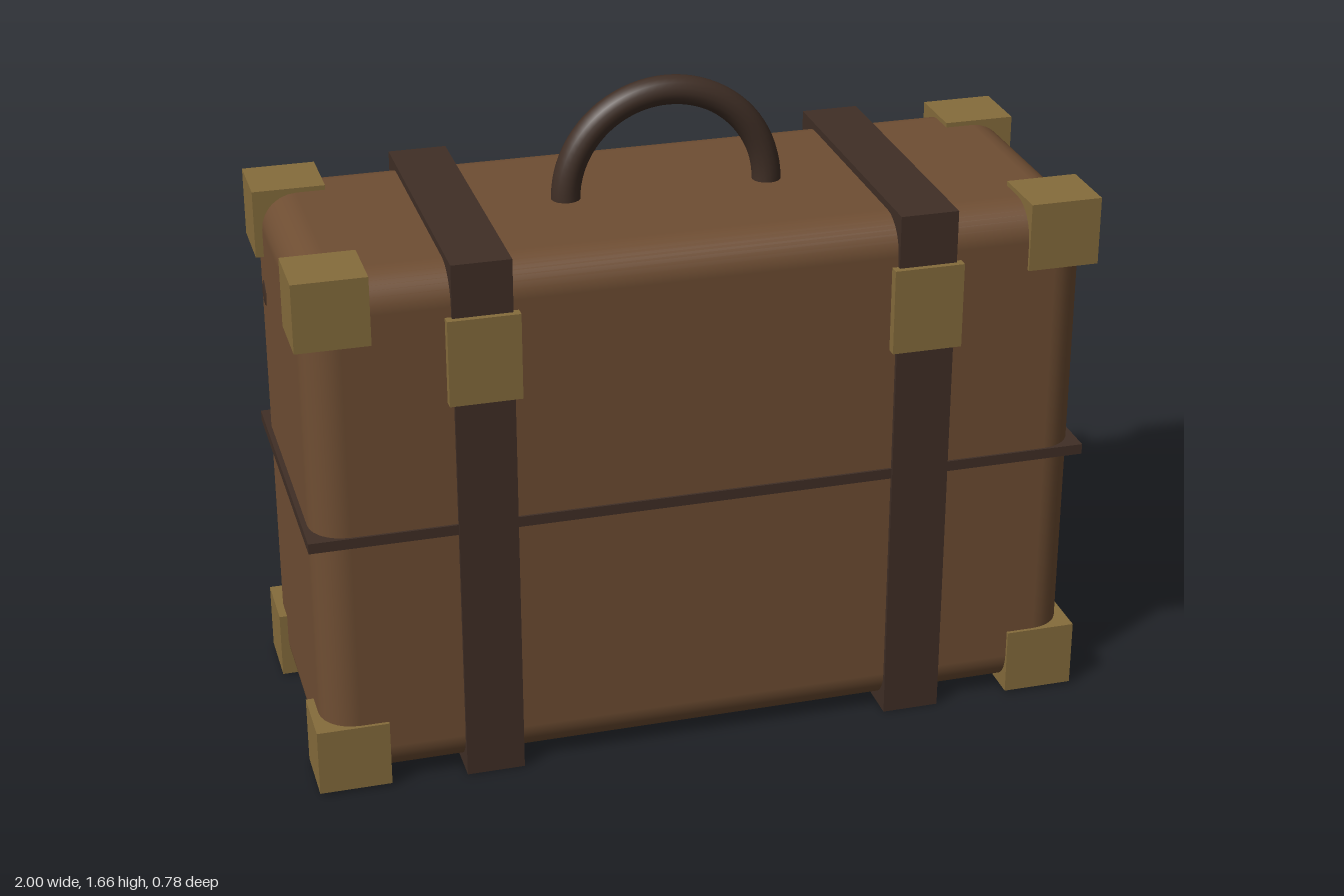
import * as THREE from 'three';
import { RoundedBoxGeometry } from 'three/addons/geometries/RoundedBoxGeometry.js';

const material = (name, color, side = THREE.FrontSide) => {
  const m = new THREE.MeshStandardMaterial({ color, side });
  m.name = name;
  return m;
};

// Box without its underside, for the parts that wrap the base
function openBox(w, h, d) {
  const g = new THREE.BoxGeometry(w, h, d);
  const index = Array.from(g.index.array);
  index.splice(18, 6);
  g.setIndex(index);
  g.clearGroups();
  return g;
}

export function createModel() {
  const model = new THREE.Group();
  model.name = 'suitcase';
  const leather = material('brown leather', 0x6f4e33);
  const darkLeather = material('dark leather', 0x402f26, THREE.DoubleSide);
  const brass = material('aged brass', 0x866d3c, THREE.DoubleSide);

  const add = (name, geometry, mat, x, y, z) => {
    const mesh = new THREE.Mesh(geometry, mat);
    mesh.name = name;
    mesh.position.set(x, y, z);
    model.add(mesh);
    return mesh;
  };
  const midY = 0.695, midZ = -0.007;

  // Case with rounded edges, and the seam around its middle
  add('caseBody', new RoundedBoxGeometry(1.96, 1.352, 0.746, 4, 0.09), leather, 0, midY, midZ);
  add('seam', new THREE.BoxGeometry(1.986, 0.027, 0.758), darkLeather, 0, midY, midZ);

  // Straps with buckle plates on the front
  for (const side of [-1, 1]) {
    add('strap', openBox(0.147, 1.39, 0.768), darkLeather, side * 0.553, midY, midZ);
    add('buckle', new THREE.BoxGeometry(0.178, 0.22, 0.03), brass, side * 0.553, 1.145, 0.377);
  }

  // Corner guards
  for (const x of [-1, 1])
    for (const z of [-1, 1]) {
      add('lowerCorner', openBox(0.182, 0.174, 0.168), brass, x * 0.909, 0.094, midZ + z * 0.298);
      add('upperCorner', new THREE.BoxGeometry(0.182, 0.174, 0.168), brass, x * 0.909, 1.296, midZ + z * 0.298);
    }

  // Arched handle
  add('handle', new THREE.TorusGeometry(0.258, 0.0365, 16, 40, Math.PI), darkLeather, 0, 1.37, midZ);

  // Small dark marks on the back and on the right end
  const mark = new THREE.SphereGeometry(1, 16, 10);
  add('backMark', mark, darkLeather, -0.18, 1.255, -0.38).scale.set(0.027, 0.05, 0.004);
  add('endMark', mark, darkLeather, -0.98, 1.1, -0.25).scale.set(0.004, 0.033, 0.03);

  return model;
}
